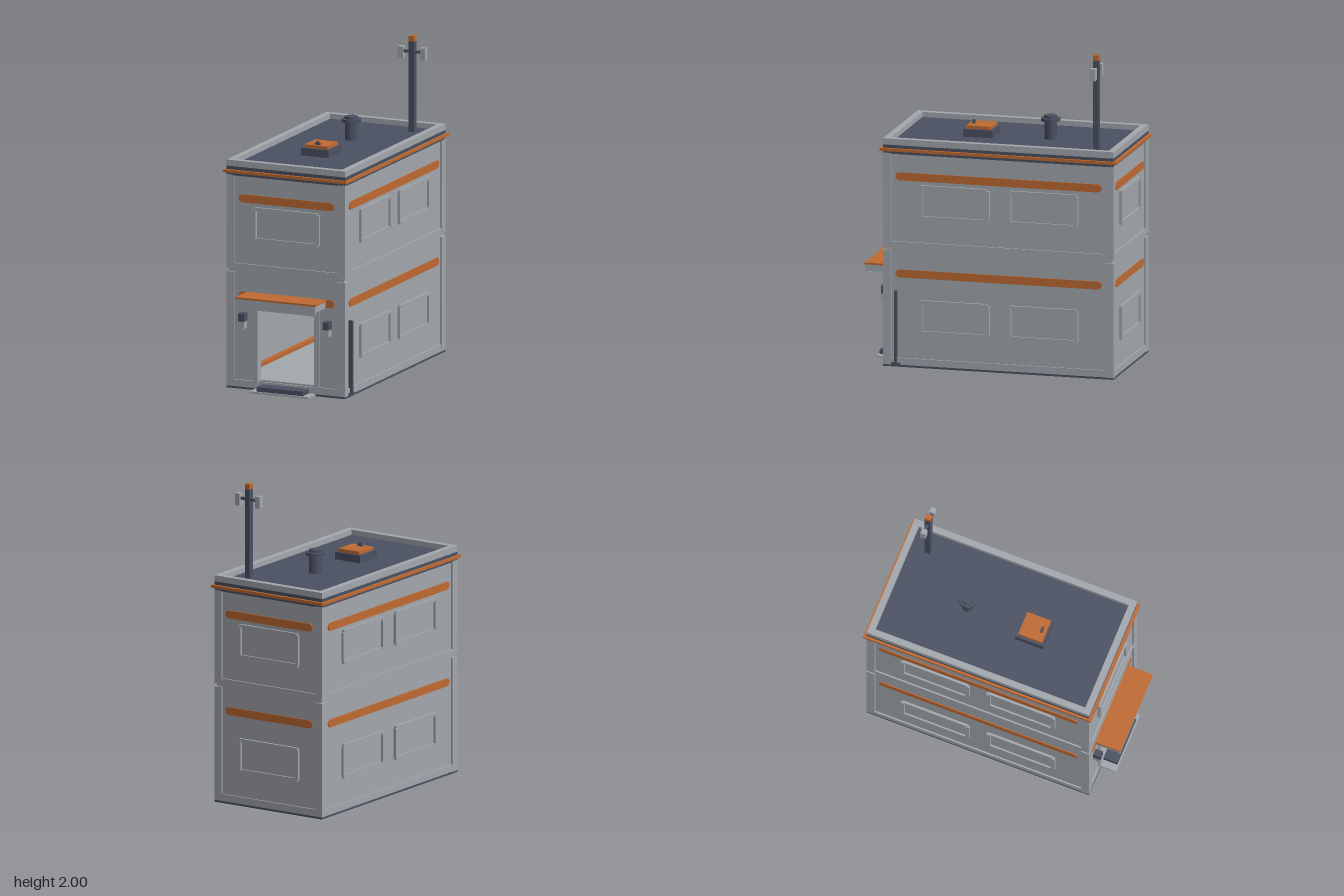
import * as THREE from 'three';

const material = (name, color) => {
  const m = new THREE.MeshStandardMaterial({ color });
  m.name = name;
  return m;
};

export function createModel() {
  const grey = material('panelGrey', 0xa3a8ae);
  const dark = material('slateBlue', 0x4a5162);
  const orange = material('safetyOrange', 0xc06a32);

  const model = new THREE.Group();
  model.name = 'modularBuilding';
  const group = (name, parent = model) => {
    const g = new THREE.Group();
    g.name = name;
    parent.add(g);
    return g;
  };
  const add = (parent, name, geo, mat, x = 0, y = 0, z = 0) => {
    const mesh = new THREE.Mesh(geo, mat);
    mesh.name = name;
    mesh.position.set(x, y, z);
    parent.add(mesh);
    return mesh;
  };
  // Box given by its lower and upper limits on each axis
  const box = (parent, name, mat, x0, x1, y0, y1, z0, z1) =>
    add(parent, name, new THREE.BoxGeometry(x1 - x0, y1 - y0, z1 - z0), mat,
      (x0 + x1) / 2, (y0 + y1) / 2, (z0 + z1) / 2);
  const rect = (s, x0, x1, y0, y1) =>
    s.moveTo(x0, y0).lineTo(x1, y0).lineTo(x1, y1).lineTo(x0, y1).closePath();
  const extrude = (shape, depth) =>
    new THREE.ExtrudeGeometry(shape, { depth, bevelEnabled: false, curveSegments: 6 });

  const MID = -0.0675, HX = 0.4, HZ = 0.7325; // centre in z and half sizes

  // Flat rectangular ring lying around the building
  const ring = (parent, name, mat, hx, hz, t, y0, y1) => {
    const s = rect(new THREE.Shape(), -hx, hx, -hz, hz);
    s.holes.push(rect(new THREE.Path(), -hx + t, hx - t, -hz + t, hz - t));
    const mesh = add(parent, name, extrude(s, y1 - y0), mat, 0, y0, MID);
    mesh.rotation.x = -Math.PI / 2;
  };

  // Rounded stripe of half length h
  const stripe = (parent, h, y) => {
    const r = 0.025, s = new THREE.Shape();
    s.moveTo(-h + r, -r).lineTo(h - r, -r);
    s.absarc(h - r, 0, r, -Math.PI / 2, Math.PI / 2, false);
    s.lineTo(-h + r, r);
    s.absarc(-h + r, 0, r, Math.PI / 2, Math.PI * 1.5, false);
    add(parent, 'stripe', extrude(s, 0.006), orange, 0, y, 0);
  };

  // Raised panel frame of four bars with a shallow infill
  const panelFrame = (parent, x, y) => {
    const f = group('panelFrame', parent);
    f.position.set(x, y, 0);
    for (const s of [-1, 1]) {
      add(f, 'frameSide', new THREE.BoxGeometry(0.024, 0.19, 0.018), grey, s * 0.213, 0, 0.009);
      add(f, 'frameRail', new THREE.BoxGeometry(0.43, 0.022, 0.015), grey, 0, s * 0.096, 0.0075);
    }
    add(f, 'infill', new THREE.BoxGeometry(0.4, 0.17, 0.004), grey, 0, 0, 0.002);
  };

  // One outer wall facing local +z
  const wall = (name, half, angle, x, z, frames, hasDoor) => {
    const w = group(name);
    w.position.set(x, 0, z);
    w.rotation.y = angle;
    const h = half - 0.012;
    const s = rect(new THREE.Shape(), -h, h, 0.01, 1.35);
    if (hasDoor) s.holes.push(rect(new THREE.Path(), -0.19, 0.19, 0.03, 0.52));
    add(w, 'wallPanel', extrude(s, 0.03), grey, 0, 0, -0.03);
    for (const f of frames) {
      panelFrame(w, f, 1.04);
      if (!hasDoor) panelFrame(w, f, 0.318);
    }
    for (const y of [0.585, 1.195]) stripe(w, half - 0.078, y);
    const e = half - 0.05;
    box(w, 'bottomRail', grey, -e, e, 0.01, 0.055, 0, 0.01);
    box(w, 'middleRail', grey, -e, e, 0.75, 0.785, 0, 0.01);
    return w;
  };
  const front = wall('frontWall', HX, 0, 0, 0.653, [0], true);
  wall('backWall', HX, Math.PI, 0, -0.788, [0], false);
  wall('leftWall', HZ, Math.PI / 2, 0.388, MID, [-0.282, 0.282], false);
  wall('rightWall', HZ, -Math.PI / 2, -0.388, MID, [-0.282, 0.282], false);

  // Corner posts for each storey
  for (const sx of [-1, 1]) for (const sz of [-1, 1]) for (const [y0, y1] of [[0.01, 0.73], [0.75, 1.34]])
    add(model, 'cornerPost', new THREE.BoxGeometry(0.052, y1 - y0, 0.052), grey,
      sx * (HX - 0.026), (y0 + y1) / 2, MID + sz * (HZ - 0.026));

  // Base, roof and parapet
  ring(model, 'baseRing', dark, HX, HZ, 0.025, 0, 0.012);
  ring(model, 'roofBand', dark, HX, HZ, 0.03, 1.335, 1.392);
  ring(model, 'roofTrim', orange, 0.415, 0.75, 0.04, 1.353, 1.371);
  ring(model, 'parapet', grey, HX, HZ, 0.04, 1.39, 1.43);
  box(model, 'roof', dark, -0.38, 0.38, 1.375, 1.398, -0.78, 0.645);

  // Floor with orange edging above and below
  box(model, 'floor', grey, -0.365, 0.365, 0.045, 0.06, -0.765, 0.63);
  box(model, 'floorEdge', orange, -0.358, -0.33, 0.06, 0.085, -0.75, 0.6);
  box(model, 'undersideEdge', orange, 0.335, 0.375, 0.008, 0.014, -0.775, 0.58);
  box(model, 'undersideBackEdge', orange, -0.34, 0.375, 0.008, 0.014, -0.775, -0.735);
  const under = rect(new THREE.Shape(), -0.27, 0.27, -0.18, 0.18);
  under.holes.push(rect(new THREE.Path(), -0.2, 0.2, -0.12, 0.12));
  add(model, 'undersideFrame', extrude(under, 0.02), dark, 0, 0.025, -0.38).rotation.x = -Math.PI / 2;
  box(model, 'undersidePlate', dark, -0.2, 0.2, 0.04, 0.046, -0.5, -0.26);

  // Machine inside, seen through the doorway
  const machine = group('machine');
  const a = 0.19, b = 0.22, c = 0.06;
  const oct = new THREE.Shape([[-a + c, -b], [a - c, -b], [a, -b + c], [a, b - c],
    [a - c, b], [-a + c, b], [-a, b - c], [-a, -b + c]].map(p => new THREE.Vector2(...p)));
  add(machine, 'machineBody', extrude(oct, 0.24), dark, 0, 0.28, -0.5);
  add(machine, 'machineRing', new THREE.TorusGeometry(0.108, 0.012, 6, 16), dark, 0, 0.29, -0.26);
  add(machine, 'machineDisc', new THREE.CylinderGeometry(0.1, 0.1, 0.012, 20), grey, 0, 0.29, -0.256)
    .rotation.x = Math.PI / 2;

  // Door surround, canopy, wall lamps and step
  for (const s of [-1, 1]) {
    add(front, 'doorJamb', new THREE.BoxGeometry(0.033, 0.53, 0.045), grey, s * 0.206, 0.285, -0.01);
    add(front, 'lampBody', new THREE.BoxGeometry(0.04, 0.046, 0.045), grey, s * 0.285, 0.408, 0.025);
    add(front, 'lampCap', new THREE.BoxGeometry(0.042, 0.05, 0.05), dark, s * 0.285, 0.455, 0.026);
  }
  box(front, 'doorHead', grey, -0.222, 0.222, 0.5, 0.55, -0.032, 0.012);
  const canopy = group('canopy');
  box(canopy, 'canopySlab', grey, -0.265, 0.265, 0.558, 0.6, 0.65, 0.812);
  box(canopy, 'canopyLip', grey, -0.265, 0.265, 0.54, 0.6, 0.798, 0.815);
  box(canopy, 'canopyTop', orange, -0.27, 0.27, 0.599, 0.61, 0.65, 0.82);
  box(model, 'stepPlate', grey, -0.2, 0.2, 0.002, 0.014, 0.6, 0.765);
  box(model, 'step', dark, -0.155, 0.155, 0.012, 0.042, 0.655, 0.755);

  // Conduit on the left wall
  box(model, 'conduit', dark, 0.385, 0.415, 0.015, 0.478, 0.575, 0.592);
  box(model, 'conduitFoot', dark, 0.385, 0.412, 0.008, 0.026, 0.555, 0.612);

  // Roof hatch
  const hatch = group('roofHatch');
  box(hatch, 'hatchBase', dark, -0.093, 0.093, 1.395, 1.446, 0.055, 0.24);
  box(hatch, 'hatchLid', orange, -0.077, 0.077, 1.446, 1.466, 0.07, 0.226);
  box(hatch, 'hatchHandle', dark, -0.018, 0.018, 1.466, 1.476, 0.19, 0.206);
  box(hatch, 'hatchKnob', dark, -0.007, 0.007, 1.475, 1.488, 0.191, 0.205);

  // Roof vent
  const vent = group('roofVent');
  const drum = (name, r, y0, y1) =>
    add(vent, name, new THREE.CylinderGeometry(r, r, y1 - y0, 8).rotateY(Math.PI / 8), dark,
      0, (y0 + y1) / 2, -0.29);
  drum('ventStem', 0.039, 1.395, 1.512);
  drum('ventFlange', 0.06, 1.51, 1.53);
  drum('ventCap', 0.04, 1.53, 1.546);

  // Antenna mast with two side units
  const mast = group('antennaMast');
  mast.position.set(0.247, 0, -0.65);
  box(mast, 'mastPole', dark, -0.018, 0.018, 1.395, 1.966, -0.018, 0.018);
  box(mast, 'mastTip', orange, -0.018, 0.018, 1.966, 2, -0.018, 0.018);
  box(mast, 'crossBar', dark, -0.065, 0.065, 1.892, 1.908, -0.008, 0.008);
  for (const s of [-1, 1])
    add(mast, 'antennaUnit', new THREE.BoxGeometry(0.035, 0.075, 0.035), grey, s * 0.075, 1.892, 0);

  return model;
}
